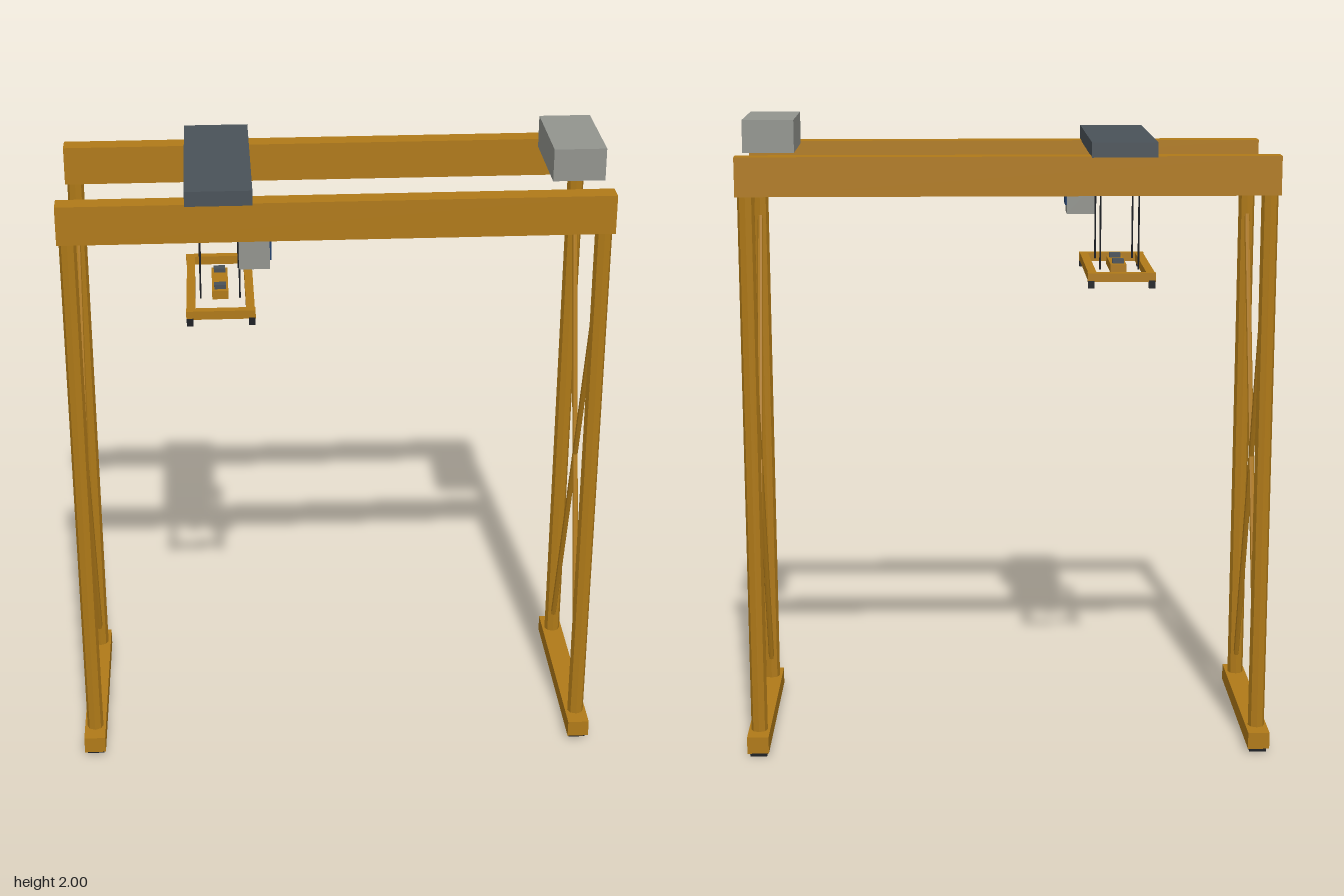
import * as THREE from 'three';

const mat = (color) => new THREE.MeshStandardMaterial({ color, flatShading: true });
const gold = mat(0xb07a18), slate = mat(0x4a5259), grey = mat(0x92948e);
const black = mat(0x1c1f24), glass = mat(0x1f3f6b);

export function createModel() {
  const model = new THREE.Group();

  // box given by its minimum and maximum along each axis
  const box = (name, m, [x0, x1], [y0, y1], [z0, z1], parent = model) => {
    const mesh = new THREE.Mesh(new THREE.BoxGeometry(x1 - x0, y1 - y0, z1 - z0), m);
    mesh.position.set((x0 + x1) / 2, (y0 + y1) / 2, (z0 + z1) / 2);
    mesh.name = name;
    parent.add(mesh);
  };
  // round bar between two points
  const bar = (name, m, a, b, r, sides, parent = model) => {
    const p = new THREE.Vector3(...a), q = new THREE.Vector3(...b);
    const mesh = new THREE.Mesh(new THREE.CylinderGeometry(r, r, p.distanceTo(q), sides), m);
    mesh.position.copy(p).lerp(q, 0.5);
    mesh.quaternion.setFromUnitVectors(new THREE.Vector3(0, 1, 0), q.sub(p).normalize());
    mesh.name = name;
    parent.add(mesh);
  };
  const around = (c, half) => [c - half, c + half];

  // end frames: sill beam, wheel trucks, legs and cross bracing
  for (const side of [-1, 1]) {
    const frame = new THREE.Group();
    frame.name = side > 0 ? 'leftEndFrame' : 'rightEndFrame';
    model.add(frame);
    const x = side * 0.797;
    box('sillBeam', gold, around(x, 0.034), [0.016, 0.07], [-0.335, 0.335], frame);
    for (const z of [-0.278, -0.183, 0.183, 0.278])
      box('wheelTruck', black, around(x, 0.027), [0, 0.03], around(z, 0.039), frame);
    for (const s of [-1, 1]) {
      bar('leg', gold, [x, 0.06, s * 0.26], [x, 1.79, s * 0.26], 0.026, 8, frame);
      bar('crossBrace', gold, [x, 0.115, s * 0.25], [x, 1.68, -s * 0.25], 0.009, 8, frame);
    }
  }

  // main girders
  for (const s of [-1, 1])
    box('girder', gold, [-0.828, 0.828], [1.78, 1.9], around(s * 0.26, 0.031));

  // machinery house and trolley
  box('machineryHouse', grey, [0.655, 0.813], [1.9, 2], [-0.158, 0.158]);
  box('trolley', slate, [-0.45, -0.25], [1.897, 1.943], [-0.3, 0.3]);

  // operator cab with its window
  box('cab', grey, [-0.292, -0.2], [1.67, 1.77], [0.15, 0.236]);
  box('cabWindow', glass, [-0.202, -0.195], [1.698, 1.76], [0.157, 0.235]);

  // hoist ropes
  for (const x of [-0.41, -0.29])
    for (const z of [-0.12, 0.12])
      bar('hoistRope', black, [x, 1.53, z], [x, 1.9, z], 0.003, 6);

  // spreader: open frame, corner locks and head block
  const spreader = new THREE.Group();
  spreader.name = 'spreader';
  model.add(spreader);
  const cx = -0.35;
  for (const s of [-1, 1]) {
    box('sideBeam', gold, around(cx + s * 0.09, 0.013), [1.508, 1.535], [-0.23, 0.23], spreader);
    box('endBeam', gold, around(cx, 0.105), [1.508, 1.535], around(s * 0.22, 0.013), spreader);
    for (const t of [-1, 1])
      box('cornerLock', black, around(cx + t * 0.094, 0.01), [1.488, 1.512], around(s * 0.225, 0.01), spreader);
    box('sheaveBlock', slate, around(cx, 0.018), [1.54, 1.556], around(s * 0.067, 0.013), spreader);
  }
  box('headBlock', gold, around(cx, 0.025), [1.515, 1.542], [-0.095, 0.095], spreader);

  return model;
}
